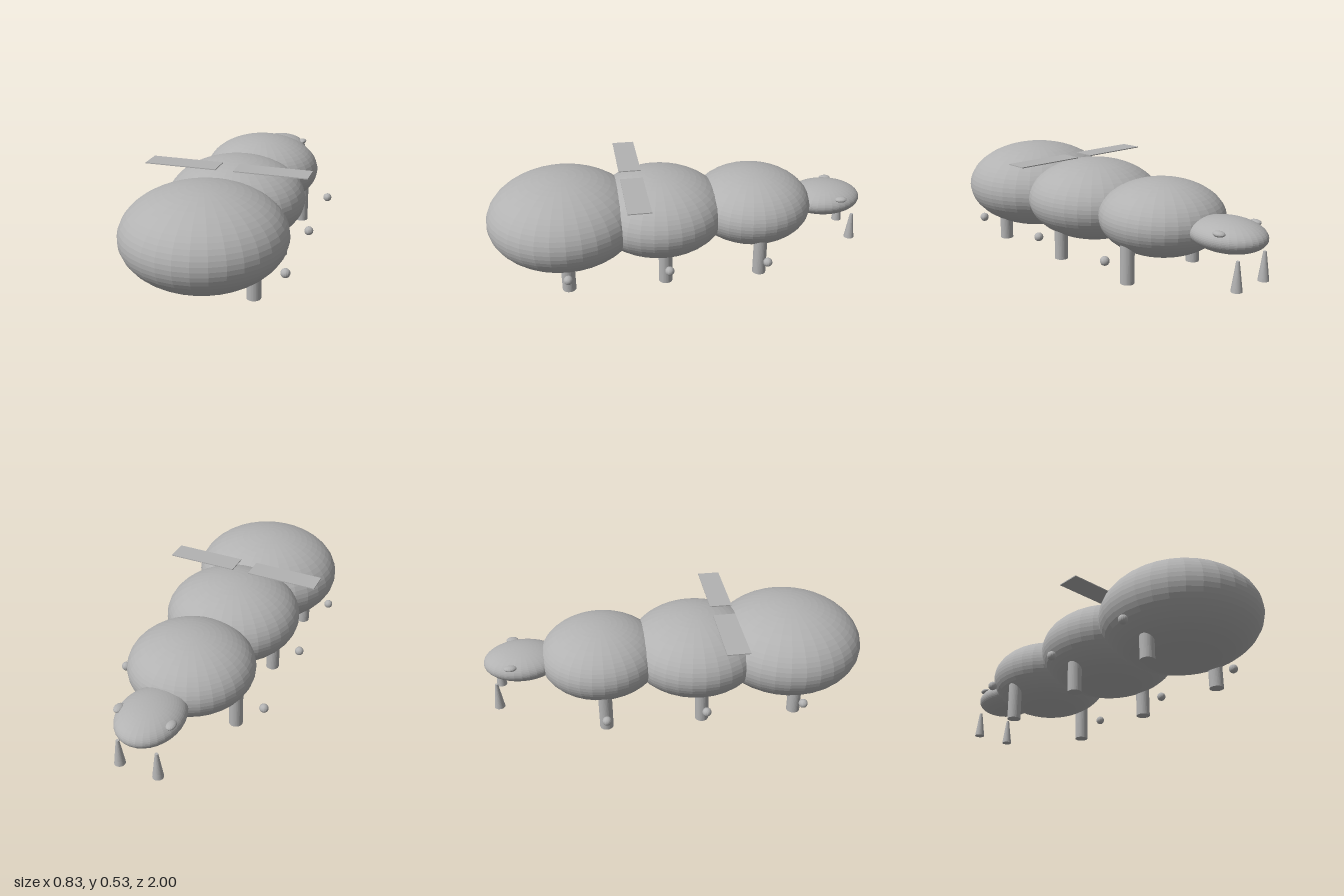
import * as THREE from 'three';

export function createModel() {
  const model = new THREE.Group();
  model.name = 'caterpillar';
  const grey = new THREE.MeshStandardMaterial({ color: 0xb2b2b2, flatShading: true });
  grey.name = 'plain grey';

  const add = (name, geometry, x, y, z) => {
    const mesh = new THREE.Mesh(geometry, grey);
    mesh.name = name;
    mesh.position.set(x, y, z);
    model.add(mesh);
    return mesh;
  };
  const ellipsoid = (rx, ry, rz, w = 32, h = 32) =>
    new THREE.SphereGeometry(1, w, h).scale(rx, ry, rz);

  // Body segments, shrinking towards the head, each with a pair of legs and feet balls
  const segments = [
    { z: 0.603, r: 0.397 },
    { z: 0.105, r: 0.357 },
    { z: -0.395, r: 0.318 },
  ];
  for (const { z, r } of segments) {
    add('bodySegment', ellipsoid(r, r * 0.598, r), 0, 0.292, z);
    for (const side of [-1, 1]) {
      add('leg', new THREE.CylinderGeometry(0.035, 0.035, 0.24, 32), side * 0.24, 0.12, z);
      add('sideBall', ellipsoid(0.023, 0.023, 0.023, 16, 16), side * 0.388, 0.15, z);
    }
  }

  // Flattened head
  add('head', ellipsoid(0.158, 0.079, 0.199), 0, 0.293, -0.801);

  for (const side of [-1, 1]) {
    // Eyes, hanging tapered fangs and thin wing plates
    add('eye', ellipsoid(0.023, 0.014, 0.032, 16, 16), side * 0.133, 0.333, -0.855);
    add('fang', new THREE.CylinderGeometry(0.008, 0.027, 0.142, 32), side * 0.1, 0.15, -0.94);
    add('wing', new THREE.BoxGeometry(0.37, 0.005, 0.116), side * 0.23, 0.502, 0.248);
  }
  return model;
}
